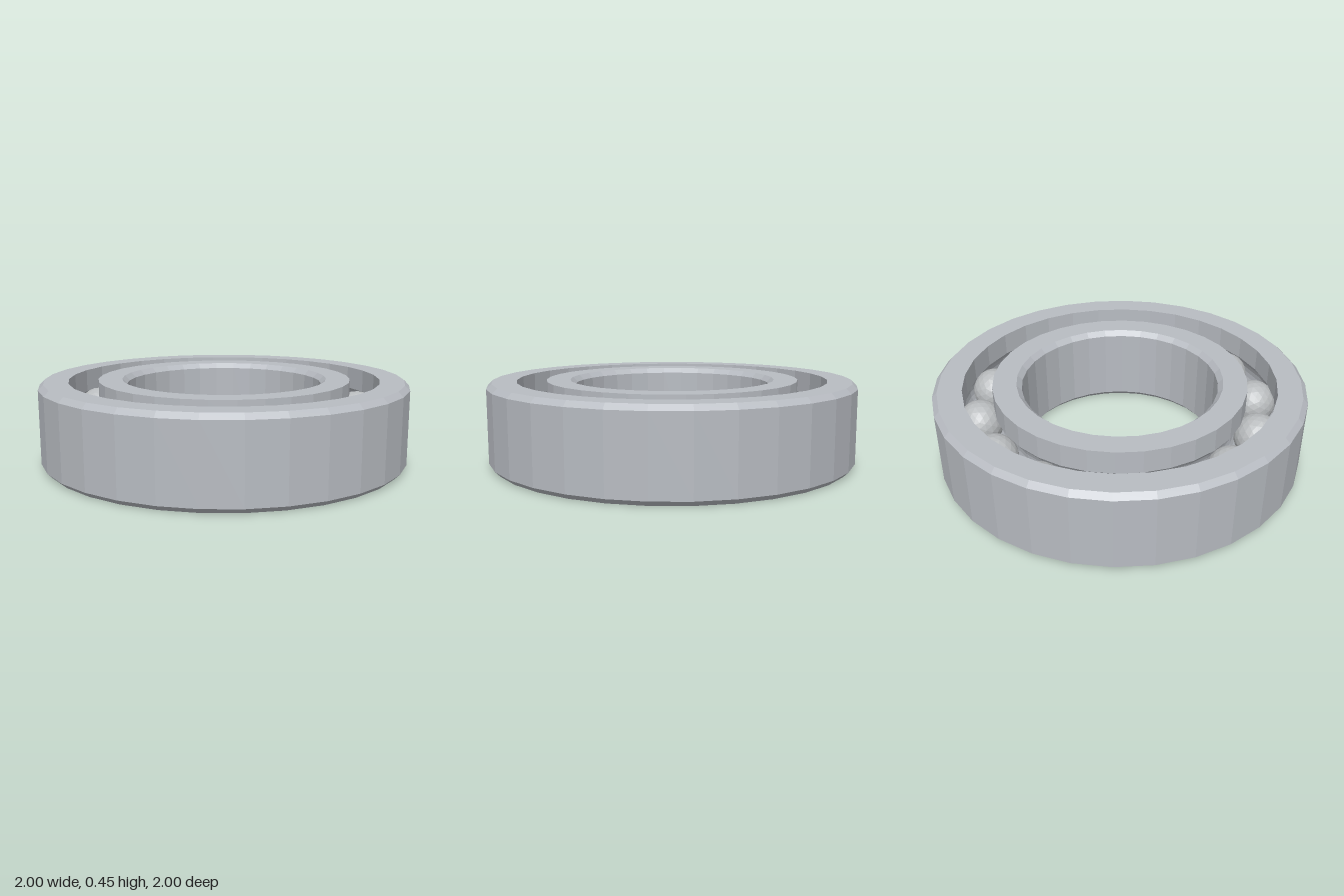
import * as THREE from 'three';

const HEIGHT = 0.447, MID = HEIGHT / 2;
const PITCH = 0.764, BALL_R = 0.124, GROOVE_R = 0.127;
const SIDES = 32, BALLS = 14, CHAMFER = 0.027;

// Groove section on a wall of the given radius; side is +1 (outer race) or -1 (inner race), bottom to top
function groove(wall, side, steps = 8) {
  const half = Math.acos(Math.abs(wall - PITCH) / GROOVE_R);
  return Array.from({ length: steps + 1 }, (_, i) => {
    const a = -half + (2 * half * i) / steps;
    return [PITCH + side * GROOVE_R * Math.cos(a), MID + GROOVE_R * Math.sin(a)];
  });
}

// Revolve a closed counter-clockwise section
function ring(name, section, material) {
  const points = [...section, section[0]].map(([x, y]) => new THREE.Vector2(x, y));
  const mesh = new THREE.Mesh(new THREE.LatheGeometry(points, SIDES), material);
  mesh.name = name;
  return mesh;
}

export function createModel() {
  const steel = new THREE.MeshStandardMaterial({ color: 0xb8bcc2, flatShading: true });
  steel.name = 'ringSteel';
  const ballSteel = new THREE.MeshStandardMaterial({ color: 0xb9bcbe, flatShading: true });
  ballSteel.name = 'ballSteel';
  const model = new THREE.Group();
  model.name = 'ballBearing';

  // Outer ring: chamfered outside, grooved inside
  const outerWall = 0.843;
  model.add(ring('outerRing', [
    [outerWall, 0], [1 - CHAMFER, 0], [1, CHAMFER],
    [1, HEIGHT - CHAMFER], [1 - CHAMFER, HEIGHT], [outerWall, HEIGHT],
    ...groove(outerWall, 1).reverse(),
  ], steel));

  // Inner ring: chamfered bore, grooved outside
  const innerWall = 0.685, bore = 0.53;
  model.add(ring('innerRing', [
    [bore + CHAMFER, 0], [innerWall, 0],
    ...groove(innerWall, -1),
    [innerWall, HEIGHT], [bore + CHAMFER, HEIGHT],
    [bore, HEIGHT - CHAMFER], [bore, CHAMFER],
  ], steel));

  // Balls spaced evenly around the race
  const balls = new THREE.Group();
  balls.name = 'balls';
  const ballGeometry = new THREE.IcosahedronGeometry(BALL_R, 3);
  for (let i = 0; i < BALLS; i++) {
    const a = (i / BALLS) * Math.PI * 2;
    const ball = new THREE.Mesh(ballGeometry, ballSteel);
    ball.name = 'ball';
    ball.position.set(PITCH * Math.cos(a), MID, PITCH * Math.sin(a));
    ball.rotation.y = -a;
    balls.add(ball);
  }
  model.add(balls);
  return model;
}
